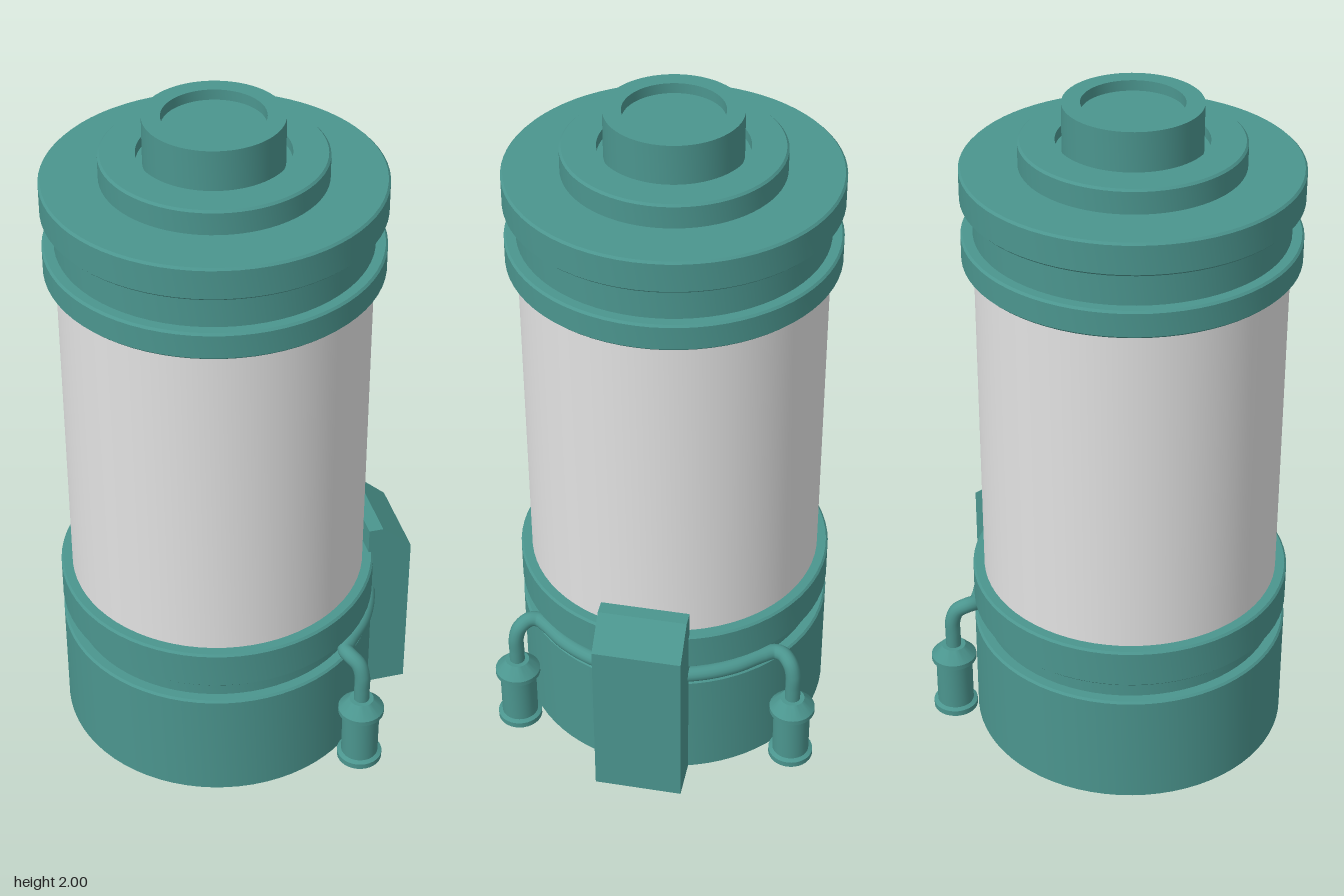
import * as THREE from 'three';
import { toCreasedNormals } from 'three/addons/utils/BufferGeometryUtils.js';

const teal = new THREE.MeshStandardMaterial({ color: 0x4b958e });
teal.name = 'teal paint';
const pale = new THREE.MeshStandardMaterial({ color: 0xe2e2e2 });
pale.name = 'pale grey shell';

// Turned part from a bottom-to-top [radius, height] profile, with sharp edges kept
function turned(name, profile, material, segments = 72) {
  const points = profile.map(([r, y]) => new THREE.Vector2(r, y));
  const mesh = new THREE.Mesh(toCreasedNormals(new THREE.LatheGeometry(points, segments), 0.5), material);
  mesh.name = name;
  return mesh;
}

// Profile of one band with slightly eased edges
function band(r, y0, y1, e = 0.006) {
  return [[r - e, y0], [r, y0 + e], [r, y1 - e], [r - e, y1]];
}

const R = 0.467; // bands
const N = 0.434; // shell and grooves

// Polar position around the tank axis
function polar(r, degrees, y) {
  const a = THREE.MathUtils.degToRad(degrees);
  return new THREE.Vector3(r * Math.cos(a), y, r * Math.sin(a));
}

export function createModel() {
  const model = new THREE.Group();
  model.name = 'storageTank';

  const tank = new THREE.Group();
  tank.name = 'tank';
  tank.position.set(-0.053, 0, 0.066);
  model.add(tank);

  // Base drum, groove and lower band
  tank.add(turned('base', [
    [0, 0], [R, 0], [R, 0.344], [R - 0.006, 0.35], [N, 0.35], [N, 0.41],
    ...band(R, 0.41, 0.53), [N - 0.01, 0.53],
  ], teal));

  // Pale middle shell
  tank.add(turned('shell', [[N, 0.53], [N, 1.55]], pale));

  // Upper bands, stepped lid and hollow cap
  tank.add(turned('lid', [
    [N - 0.01, 1.55], ...band(R, 1.55, 1.63), [N, 1.63], [N, 1.73],
    ...band(R, 1.73, 1.825), [0.308, 1.825], [0.308, 1.889], [0.302, 1.895],
    [0.208, 1.895], [0.208, 1.865], [0.19, 1.865], [0.19, 2],
    [0.14, 2], [0.14, 1.97], [0, 1.97],
  ], teal));

  // Attachments share one direction: local +x points out through the control box
  const side = new THREE.Group();
  side.name = 'sideEquipment';
  side.rotation.y = THREE.MathUtils.degToRad(31.6);
  tank.add(side);

  // Control box with a sloped outer top edge
  const outline = new THREE.Shape([
    [N, 0], [0.567, 0], [0.567, 0.53], [0.477, 0.61], [N, 0.61],
  ].map(([x, y]) => new THREE.Vector2(x, y)));
  const boxGeometry = new THREE.ExtrudeGeometry(outline, { depth: 0.26, bevelEnabled: false });
  boxGeometry.translate(0, 0, -0.13);
  const box = new THREE.Mesh(boxGeometry, teal);
  box.name = 'controlBox';
  side.add(box);

  // Canisters at either side of the box
  const spread = 52.2;
  for (const s of [-1, 1]) {
    const canister = turned(s > 0 ? 'frontCanister' : 'backCanister', [
      [0, 0], [0.067, 0], [0.067, 0.018], [0.055, 0.024], [0.055, 0.175],
      [0.068, 0.18], [0.068, 0.195], [0.036, 0.23], [0, 0.23],
    ], teal, 32);
    canister.position.copy(polar(0.537, s * spread, 0));
    side.add(canister);
  }

  // Pipe rising from one canister, round the groove, and down to the other
  const end = s => [
    polar(0.537, s * spread, 0.22), polar(0.537, s * spread, 0.27),
    polar(0.536, s * spread, 0.32), polar(0.522, s * spread, 0.356),
    polar(0.49, s * spread, 0.374), polar(0.465, s * (spread - 1.5), 0.374),
  ];
  const path = end(-1);
  for (let a = -46; a <= 46; a += 11.5) path.push(polar(0.455, a, 0.374));
  path.push(...end(1).reverse());
  const pipe = new THREE.Mesh(
    new THREE.TubeGeometry(new THREE.CatmullRomCurve3(path), 160, 0.023, 16), teal);
  pipe.name = 'connectingPipe';
  side.add(pipe);

  return model;
}
